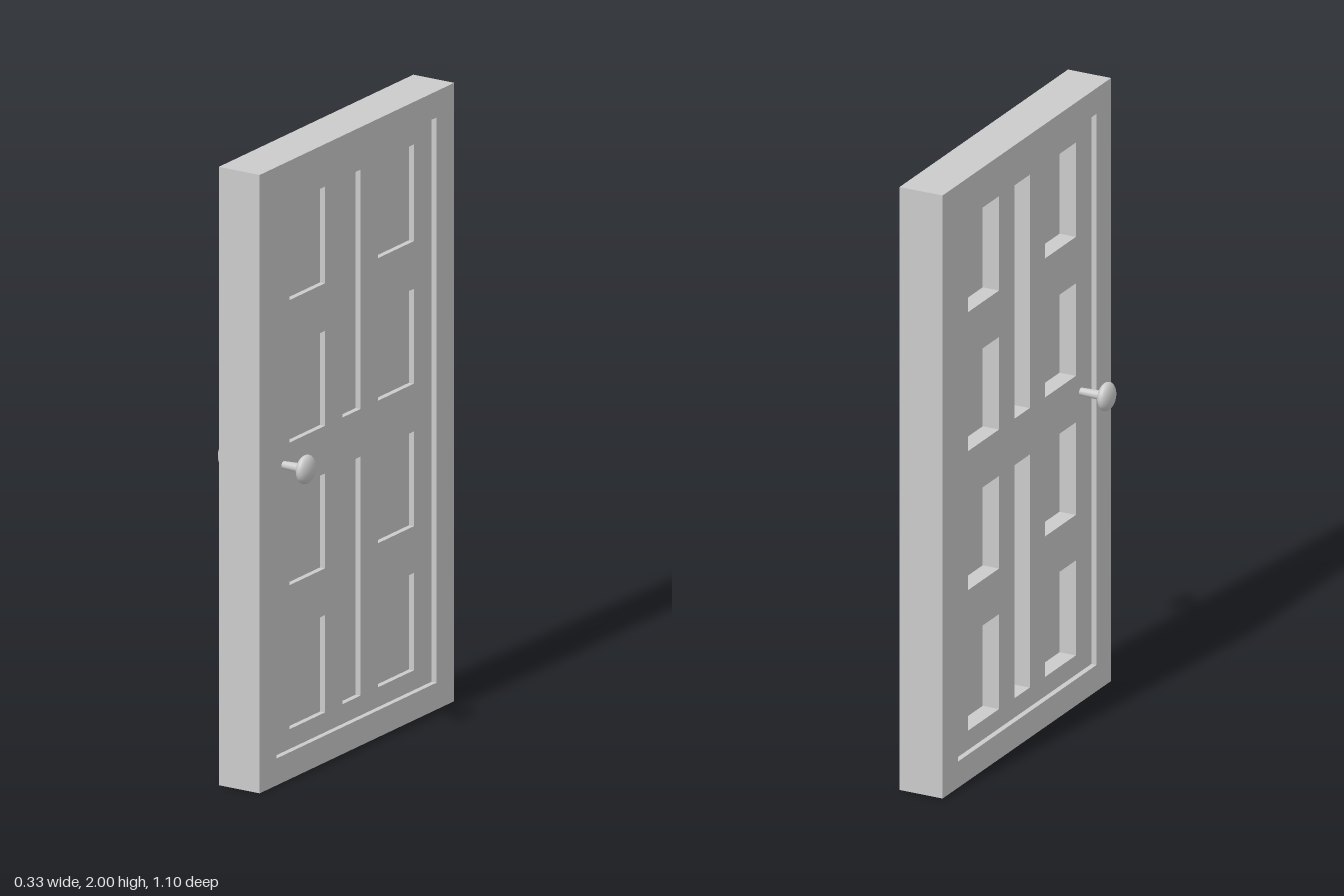
import * as THREE from 'three';

const material = new THREE.MeshStandardMaterial({ color: 0xcccccc });

// Rectangles are [zMin, zMax, yMin, yMax], drawn in a plane whose x is -z.
function outline([z0, z1, y0, y1], Type) {
  return new Type([
    new THREE.Vector2(-z1, y0), new THREE.Vector2(-z0, y0),
    new THREE.Vector2(-z0, y1), new THREE.Vector2(-z1, y1),
  ]);
}

// Slab between x0 and x1 with rectangular openings
function slab(name, rect, holes, x0, x1) {
  const shape = outline(rect, THREE.Shape);
  shape.holes = holes.map((h) => outline(h, THREE.Path));
  const geometry = new THREE.ExtrudeGeometry(shape, { depth: x1 - x0, bevelEnabled: false });
  geometry.rotateY(Math.PI / 2).translate(x0, 0, 0);
  const mesh = new THREE.Mesh(geometry, material);
  mesh.name = name;
  return mesh;
}

// Mushroom knob on a slightly flared stem, pointing along +x or -x
function knob(name, side, start) {
  const group = new THREE.Group();
  group.name = name;
  const centre = 0.143;
  const length = centre - start;
  const stem = new THREE.Mesh(new THREE.CylinderGeometry(0.016, 0.012, length, 20), material);
  stem.name = 'knobStem';
  stem.rotation.z = -side * Math.PI / 2;
  stem.position.x = side * (start + length / 2);
  const head = new THREE.Mesh(new THREE.SphereGeometry(0.046, 32, 20), material);
  head.name = 'knobHead';
  head.scale.x = 0.5;
  head.position.x = side * centre;
  group.add(stem, head);
  group.position.set(0, 1.015, 0.387);
  return group;
}

export function createModel() {
  const door = new THREE.Group();
  door.name = 'door';

  // Outer frame
  const opening = [-0.45, 0.455, 0.087, 1.915];
  door.add(slab('frame', [-0.55, 0.55, 0, 2], [opening], -0.071, 0.079));

  // Four rows of square panels in two columns, and two tall centre panels
  const rows = [[0.151, 0.466], [0.617, 0.924], [1.078, 1.385], [1.539, 1.852]];
  const panels = [];
  for (const [y0, y1] of rows) {
    panels.push([0.153, 0.354, y0, y1], [-0.349, -0.148, y0, y1]);
  }
  panels.push([-0.048, 0.053, 0.151, 0.924], [-0.048, 0.053, 1.078, 1.852]);

  // Leaf set back inside the frame, with panels shallow on +x and deep on -x
  door.add(slab('leaf', opening, panels, -0.053, 0.061));
  for (const panel of panels) door.add(slab('panel', panel, [], 0.004, 0.043));

  door.add(knob('leftKnob', 1, 0.05), knob('rightKnob', -1, 0.045));
  return door;
}
